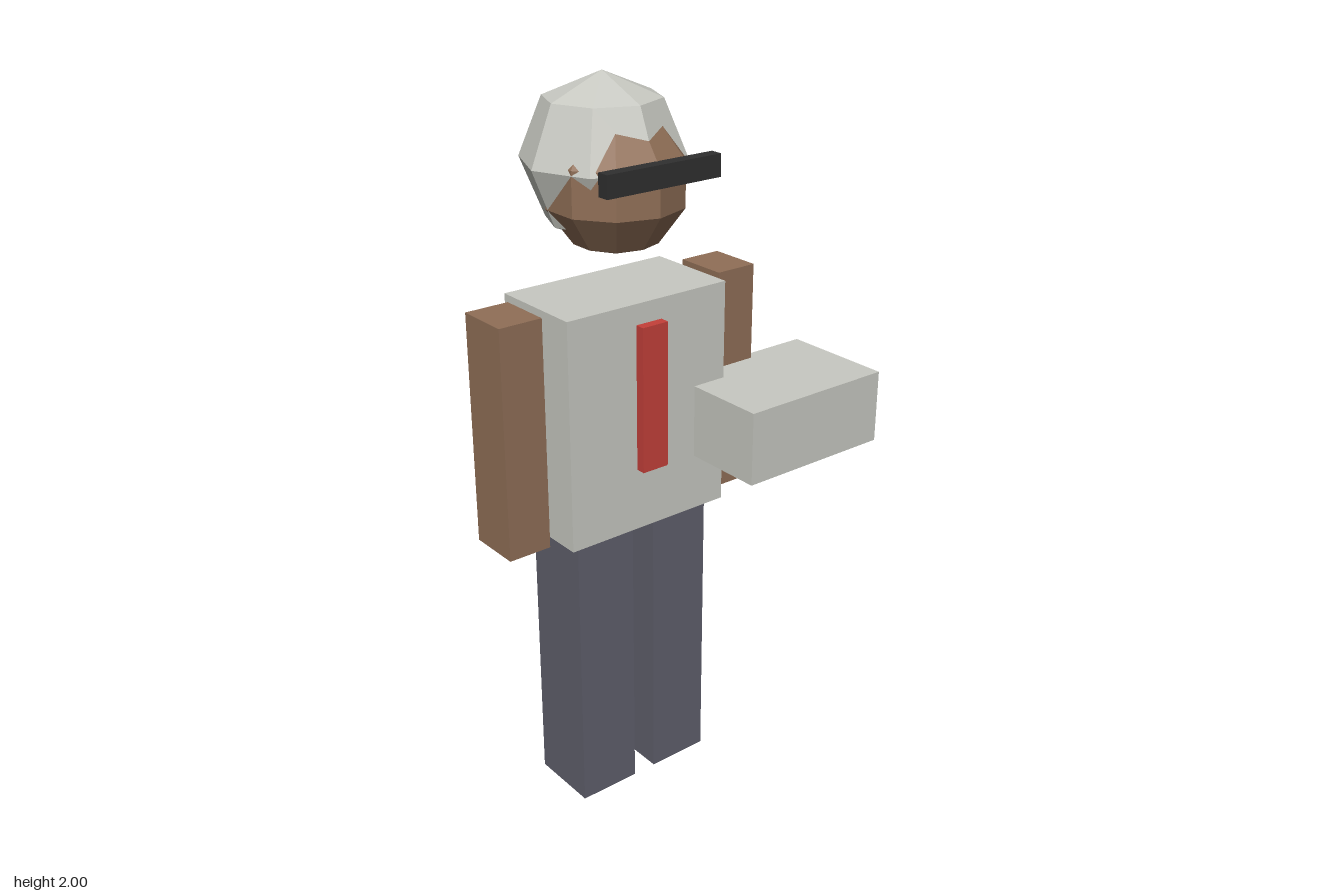
import * as THREE from 'three';

const mat = (name, color, flat = false) => {
  const m = new THREE.MeshStandardMaterial({ color, flatShading: flat });
  m.name = name;
  return m;
};

export function createModel() {
  const model = new THREE.Group();
  model.name = 'blockFigure';

  const paleGrey = mat('paleGrey', 0xc8c9c2, true);
  const skin = mat('skin', 0x906f57, true);
  const trousers = mat('trousers', 0x5f5f6c, true);
  const red = mat('red', 0xc4403a, true);
  const black = mat('black', 0x303030, true);

  const add = (name, geometry, material, x, y, z) => {
    const mesh = new THREE.Mesh(geometry, material);
    mesh.name = name;
    mesh.position.set(x, y, z);
    model.add(mesh);
    return mesh;
  };

  // Box given by its limits on each axis
  const box = (name, material, [x0, x1], [y0, y1], [z0, z1]) =>
    add(name, new THREE.BoxGeometry(x1 - x0, y1 - y0, z1 - z0), material,
      (x0 + x1) / 2, (y0 + y1) / 2, (z0 + z1) / 2);

  const centreX = -0.102;

  // Legs and arms, mirrored about the body's centre line
  for (const [side, s] of [['left', 1], ['right', -1]]) {
    add(side + 'Leg', new THREE.BoxGeometry(0.18, 0.83, 0.203), trousers,
      centreX + s * 0.125, 0.415, -0.049);
    add(side + 'Arm', new THREE.BoxGeometry(0.123, 0.63, 0.15), skin,
      centreX + s * 0.343, 1.145, -0.053);
  }

  // Torso and tie
  box('torso', paleGrey, [-0.353, 0.149], [0.83, 1.46], [-0.19, 0.083]);
  box('tie', red, [-0.143, -0.063], [1.004, 1.404], [0.08, 0.11]);

  // Carried block
  box('carriedBox', paleGrey, [0.049, 0.503], [0.988, 1.19], [-0.005, 0.315]);

  // Head, with a corner facing forward, under a faceted cap of hair
  const head = add('head', new THREE.SphereGeometry(0.19, 10, 5), skin, centreX, 1.739, -0.052);
  head.rotation.y = Math.PI / 2;
  add('hair', new THREE.SphereGeometry(0.215, 8, 4), paleGrey, centreX, 1.785, -0.1);

  // Glasses bar in front of the eyes
  box('glasses', black, [-0.274, 0.071], [1.758, 1.816], [0.113, 0.147]);

  return model;
}
